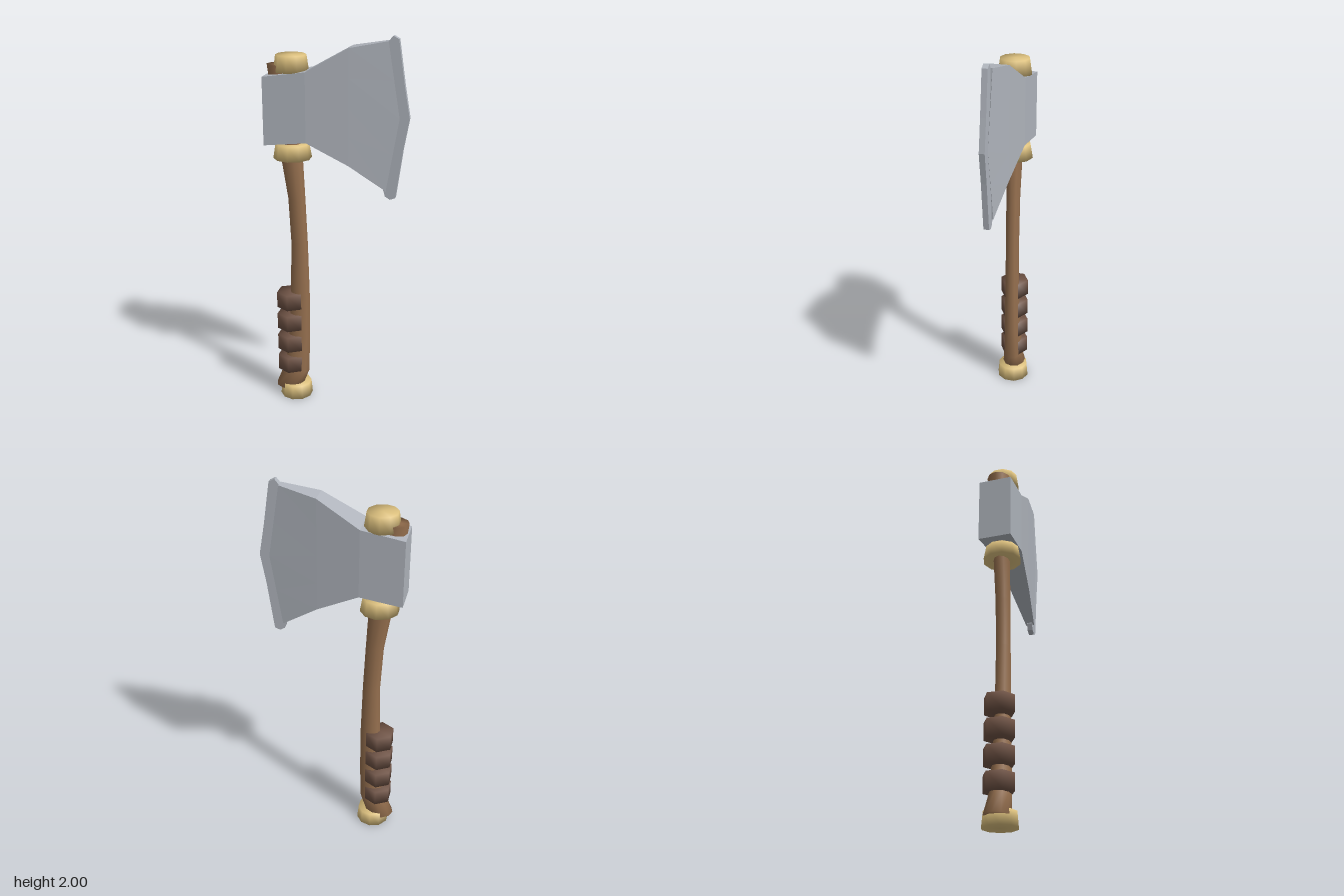
import * as THREE from 'three';

const mat = (name, color) => {
  const m = new THREE.MeshStandardMaterial({ color });
  m.name = name;
  return m;
};

// Closed skin through a list of equal-length rings, with fan caps at both ends
function loft(rings) {
  const n = rings[0].length, pos = rings.flat(), index = [];
  const mean = ring => ring.reduce((s, p) => s.add(p), new THREE.Vector3()).divideScalar(n);
  const first = pos.length, last = first + 1, end = (rings.length - 1) * n;
  pos.push(mean(rings[0]), mean(rings[rings.length - 1]));
  for (let j = 0; j < n; j++) {
    const k = (j + 1) % n;
    for (let i = 0; i < rings.length - 1; i++) {
      const a = i * n + j, b = i * n + k;
      index.push(a, b, b + n, a, b + n, a + n);
    }
    index.push(first, k, j, last, end + j, end + k);
  }
  const g = new THREE.BufferGeometry().setFromPoints(pos);
  g.setIndex(index);
  g.computeVertexNormals();
  return g;
}

const flat = g => {
  const f = g.index ? g.toNonIndexed() : g;
  f.computeVertexNormals();
  return f;
};

export function createModel() {
  const group = new THREE.Group();
  const steel = mat('steel', 0xb0b5bd), wood = mat('wood', 0x96704f);
  const brass = mat('brass', 0xdcc07e), leather = mat('leather', 0x6e5244);
  const add = (name, geometry, material, x = 0, y = 0, z = 0) => {
    const m = new THREE.Mesh(geometry, material);
    m.name = name;
    m.position.set(x, y, z);
    group.add(m);
  };

  // Curved handle: height, centre x, radius in x, radius in z
  const handle = [
    [0.05, -0.275, 0.075, 0.065], [0.15, -0.237, 0.074, 0.052], [0.35, -0.217, 0.06, 0.043],
    [0.6, -0.208, 0.053, 0.037], [0.9, -0.207, 0.045, 0.035], [1.15, -0.218, 0.046, 0.036],
    [1.37, -0.24, 0.058, 0.04], [1.84, -0.296, 0.064, 0.06],
  ].map(([y, cx, rx, rz]) => Array.from({ length: 10 }, (_, i) => {
    const t = i / 10 * Math.PI * 2;
    return new THREE.Vector3(cx + rx * Math.cos(t), y, -rz * Math.sin(t));
  }));
  add('handle', loft(handle), wood);

  // Tapered smooth-shaded rings and caps
  const drum = (r0, r1, h, sides) => new THREE.LatheGeometry(
    [[0, 0], [r0, 0], [r1, h], [0, h]].map(p => new THREE.Vector2(...p)), sides);
  add('bottomCap', drum(0.088, 0.081, 0.075, 10), brass, -0.236);
  add('collar', drum(0.098, 0.085, 0.075, 10), brass, -0.236, 1.37);
  add('topCap', drum(0.088, 0.076, 0.08, 10), brass, -0.236, 1.81);

  // Grip wraps
  for (let i = 0; i < 4; i++)
    add('gripWrap' + (i + 1), drum(0.077, 0.077, 0.087, 6), leather, -0.26, 0.157 + i * 0.126);

  // Axe head: x, forward bulge at mid height, top, bottom, half thickness
  const steps = [0, 0.25, 0.5, 0.75, 1];
  const head = [
    [-0.36, 0, 1.79, 1.447, 0.085], [-0.145, 0, 1.82, 1.47, 0.076],
    [0.065, 0, 1.94, 1.36, 0.05], [0.25, 0.06, 1.975, 1.235, 0.022],
  ].map(([x, bulge, top, bottom, hz]) => {
    const side = s => steps.map(f => {
      const b = bulge * (1 - Math.abs(2 * f - 1));
      return new THREE.Vector3(x + b, bottom + f * (top - bottom), s * (hz - 0.12 * b));
    });
    return [...side(-1), ...side(1).reverse()];
  });
  add('axeHead', flat(loft(head)), steel);

  // Thin cutting edge
  const edge = new THREE.Shape([
    [0.235, 1.24], [0.245, 1.205], [0.27, 1.19], [0.297, 1.2], [0.33, 1.45], [0.358, 1.61],
    [0.33, 1.77], [0.298, 1.985], [0.27, 2], [0.245, 1.97], [0.27, 1.6],
  ].map(p => new THREE.Vector2(...p)));
  add('cuttingEdge', flat(new THREE.ExtrudeGeometry(edge, { depth: 0.028, bevelEnabled: false })),
    steel, 0, 0, -0.014);

  return group;
}
